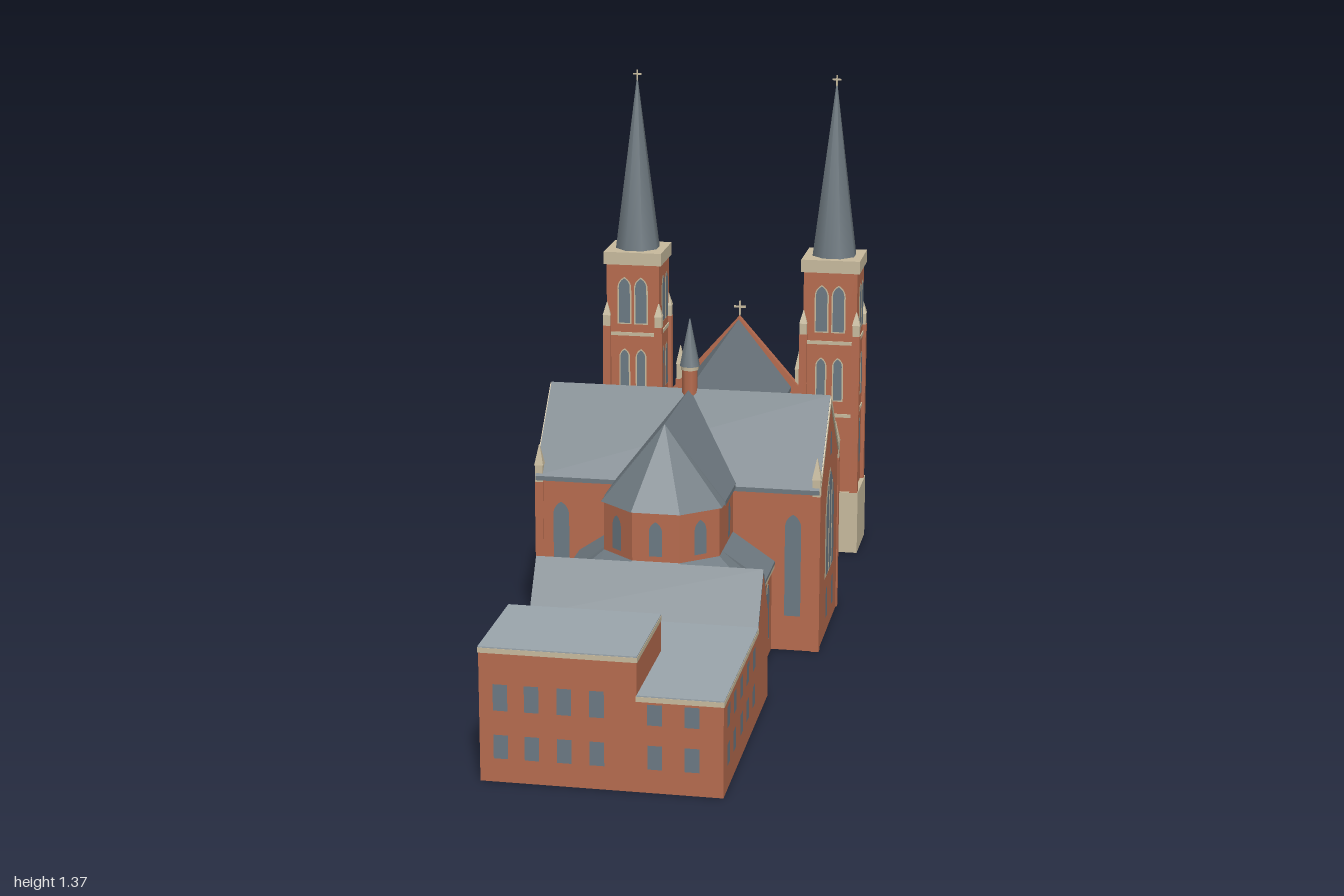
import * as THREE from 'three';

const mat = (name, color, side = THREE.DoubleSide) =>
  Object.assign(new THREE.MeshStandardMaterial({ color, side }), { name });

export function createModel() {
  const root = new THREE.Group();
  root.name = 'church';
  const brick = mat('brick', 0xb66b4e), stone = mat('stone', 0xc7ba9d), slate = mat('slate', 0x6e7980);
  const glass = mat('glass', 0x6b7983, THREE.FrontSide), flatRoof = mat('flat roof', 0x9aa5ac);

  // ---- helpers ----
  const add = (name, geo, m, parent = root, smooth = false) => {
    const g = geo.index && !smooth ? geo.toNonIndexed() : geo;
    if (!smooth) g.computeVertexNormals();
    const mesh = new THREE.Mesh(g, m);
    mesh.name = name;
    parent.add(mesh);
    return mesh;
  };
  const box = (name, m, x0, x1, y0, y1, z0, z1) => {
    const g = new THREE.BoxGeometry(x1 - x0, y1 - y0, z1 - z0);
    g.translate((x0 + x1) / 2, (y0 + y1) / 2, (z0 + z1) / 2);
    return add(name, g, m);
  };
  // turns a solid into a hollow shell: no floor, and no top unless kept
  const hollow = (mesh, keepTop = false) => {
    const p = mesh.geometry.attributes.position.array, n = mesh.geometry.attributes.normal.array, v = [];
    for (let i = 0; i < p.length; i += 9)
      if (n[i + 1] > -0.1 && (keepTop || n[i + 1] < 0.1)) v.push(...p.slice(i, i + 9));
    mesh.geometry = new THREE.BufferGeometry();
    mesh.geometry.setAttribute('position', new THREE.Float32BufferAttribute(v, 3));
    mesh.geometry.computeVertexNormals();
  };
  const shapeOf = pts => new THREE.Shape(pts.map(p => new THREE.Vector2(p[0], p[1])));
  const extrude = (pts, depth) => new THREE.ExtrudeGeometry(shapeOf(pts), { depth, bevelEnabled: false });
  const alongZ = (name, m, pts, z0, z1) => add(name, extrude(pts, z1 - z0).translate(0, 0, z0), m);
  const alongX = (name, m, pts, x0, x1) => // profile given as (z, y)
    add(name, extrude(pts, x1 - x0).rotateY(-Math.PI / 2).translate(x1, 0, 0), m);
  const planUp = (name, m, pts, y0, y1) => // plan given as (x, z)
    add(name, extrude(pts.map(p => [p[0], -p[1]]), y1 - y0).rotateX(-Math.PI / 2).translate(0, y0, 0), m);
  const gable = (c, w, eave, ridge, base = 0) =>
    [[c - w, base], [c + w, base], [c + w, eave], [c, ridge], [c - w, eave]];
  const chevron = (c, w, eave, ridge, t) =>
    [[c - w, eave - t], [c, ridge - t], [c + w, eave - t], [c + w, eave], [c, ridge], [c - w, eave]];
  const skirt = (name, m, low, high) => { // roof faces between two open rings
    const v = [];
    for (let i = 0; i < low.length - 1; i++) {
      const [a, b, c, d] = [low[i], low[i + 1], high[i], high[i + 1]];
      v.push(...a, ...c, ...d, ...a, ...d, ...b);
    }
    const g = new THREE.BufferGeometry();
    g.setAttribute('position', new THREE.Float32BufferAttribute(v, 3));
    add(name, g, m);
  };
  const cone = (name, m, r0, r1, y0, y1, x, z, n = 8) => add(name,
    new THREE.CylinderGeometry(r0 && r1, r0, y1 - y0, n).rotateY(Math.PI / n).translate(x, (y0 + y1) / 2, z), m, root, n > 4);
  const lancet = (w, h) => {
    const s = new THREE.Shape(), k = h - w * 0.85;
    s.moveTo(-w / 2, 0).lineTo(w / 2, 0).lineTo(w / 2, k);
    s.quadraticCurveTo(w / 2, h - w * 0.3, 0, h).quadraticCurveTo(-w / 2, h - w * 0.3, -w / 2, k);
    return new THREE.ShapeGeometry(s, 8);
  };
  const F = 0, R = Math.PI / 2, B = Math.PI, L = -Math.PI / 2;
  const windowAt = (x, y, z, rot, w, h, trim = 0, pane = glass) => {
    const g = new THREE.Group();
    g.name = 'window';
    g.position.set(x, y, z);
    g.rotation.y = rot;
    if (trim) add('windowTrim', lancet(w + 2 * trim, h + 2 * trim).translate(0, -trim, 0.002), stone, g);
    add('windowPane', lancet(w, h).translate(0, 0, 0.004), pane, g);
    root.add(g);
  };
  const squareWindow = (x, y, z, rot, w, h) => {
    const m = add('annexWindow', new THREE.PlaneGeometry(w, h).translate(0, 0, 0.002), glass);
    m.position.set(x, y, z);
    m.rotation.y = rot;
  };
  const pinnacle = (x, y, z, w, h) => {
    box('pinnacleShaft', stone, x - w / 2, x + w / 2, y, y + h * 0.45, z - w / 2, z + w / 2);
    cone('pinnacleCap', stone, w * 0.8, 0.001, y + h * 0.45, y + h, x, z, 4);
  };
  const cross = (x, y, z, h) => {
    box('crossPost', stone, x - 0.002, x + 0.002, y, y + h, z - 0.002, z + 0.002);
    box('crossArm', stone, x - h * 0.38, x + h * 0.38, y + h * 0.55, y + h * 0.68, z - 0.002, z + 0.002);
  };
  const mirror = half => [...half, ...half.map(([x, z]) => [-x, z]).reverse()];

  // ---- nave and apse ----
  const tz = -0.17, tw = 0.188, tx = 0.372;
  hollow(alongZ('naveWest', brick, gable(0, 0.148, 0.438, 0.628, 0.29), -0.96, tz - tw + 0.002));
  hollow(alongZ('naveEast', brick, gable(0, 0.148, 0.438, 0.628, 0.29), tz + tw - 0.002, 0.18));
  alongZ('naveRoof', slate, chevron(0, 0.155, 0.445, 0.64, 0.012), -0.96, 0.18);
  hollow(planUp('apse', brick, mirror([[0.148, 0.17], [0.148, 0.222], [0.06, 0.298]]), 0.29, 0.442));
  const apseEave = mirror([[0.155, 0.18], [0.155, 0.225], [0.062, 0.304]]);
  skirt('apseRoof', slate, apseEave.map(([x, z]) => [x, 0.442, z]), apseEave.map(() => [0, 0.64, 0.18]));
  hollow(planUp('ambulatory', brick, mirror([[0.25, tz + tw + 0.002], [0.25, 0.27], [0.165, 0.352]]), 0, 0.228));
  const ambEave = mirror([[0.257, 0.17], [0.257, 0.273], [0.168, 0.358]]);
  const ambTop = mirror([[0.147, 0.17], [0.147, 0.222], [0.06, 0.298]]);
  skirt('ambulatoryRoof', slate, ambEave.map(([x, z]) => [x, 0.224, z]), ambTop.map(([x, z]) => [x, 0.315, z]));
  windowAt(0, 0.33, 0.298, F, 0.034, 0.09);

  // ---- aisles, clerestory and buttresses on both sides ----
  hollow(box('aisles', brick, -0.25, 0.25, 0, 0.234, -0.806, tz - tw - 0.002));
  for (const s of [-1, 1]) {
    const side = s > 0 ? R : L;
    for (const [z0, z1] of [[-0.955, tz - tw], [tz + tw, 0.18]]) {
      alongZ('aisleRoof', slate, [[s * 0.258, 0.232], [s * 0.258, 0.24], [s * 0.147, 0.315], [s * 0.147, 0.3]], z0, z1);
      box('aisleCornice', stone, s * 0.253 - 0.004, s * 0.253 + 0.004, 0.222, 0.234, Math.max(z0, -0.82), z1);
    }
    for (const z of [-0.415, -0.515, -0.635, -0.755, 0.1]) windowAt(s * 0.25, 0.055, z, side, 0.037, 0.15, 0.006);
    for (const z of [-0.42, -0.468, -0.57, -0.617, -0.72, -0.767, 0.1]) windowAt(s * 0.148, 0.33, z, side, 0.03, 0.09);
    for (const z of [-0.47, -0.59, -0.7]) {
      box('buttress', brick, s * 0.255 - 0.013, s * 0.255 + 0.013, 0, 0.205, z - 0.01, z + 0.01);
      box('buttressCap', stone, s * 0.255 - 0.014, s * 0.255 + 0.014, 0.205, 0.217, z - 0.011, z + 0.011);
    }
    windowAt(s * 0.104, 0.33, 0.26, s * 0.712, 0.034, 0.09);
    windowAt(s * 0.2075, 0.05, 0.311, s * 0.767, 0.034, 0.125);
    windowAt(s * 0.25, 0.05, 0.225, side, 0.03, 0.125);
  }

  // ---- transept ----
  hollow(alongX('transept', brick, gable(tz, tw, 0.438, 0.63), -tx, tx));
  alongX('transeptRoof', slate, chevron(tz, 0.196, 0.438, 0.64, 0.012), -tx, tx);
  for (const s of [-1, 1]) {
    const side = s > 0 ? R : L, x = s * tx;
    alongX('gableCoping', stone, chevron(tz, 0.187, 0.444, 0.637, 0.018), x - 0.003, x + 0.003);
    windowAt(x, 0.168, tz, side, 0.145, 0.27, 0.007);
    for (const d of [-0.025, 0.025])
      box('mullion', stone, x - 0.005, x + 0.005, 0.168, 0.405, tz + d - 0.002, tz + d + 0.002);
    windowAt(x, 0.48, tz, side, 0.028, 0.065);
    for (const d of [-0.055, 0.055]) windowAt(x, 0.05, tz + d, side, 0.03, 0.085);
    for (const d of [-1, 1]) {
      const z = tz + d * (tw - 0.008);
      box('transeptButtress', brick, s * 0.364 - 0.011, s * 0.364 + 0.011, 0, 0.42, z - 0.011, z + 0.011);
      pinnacle(s * 0.364, 0.42, z, 0.021, 0.1);
      windowAt(s * 0.305, 0.095, tz + d * tw, d > 0 ? F : B, 0.042, 0.275);
    }
  }

  // ---- crossing turret ----
  cone('turret', brick, 0.021, 0.021, 0.61, 0.695, 0, tz);
  cone('turretBand', stone, 0.024, 0.024, 0.692, 0.702, 0, tz);
  cone('turretSpire', slate, 0.027, 0.0015, 0.702, 0.828, 0, tz);

  // ---- west towers ----
  hollow(box('stoneBase', stone, -0.372, 0.372, 0, 0.18, -0.99, -0.808), true);
  const cz = -0.893;
  for (const s of [-1, 1]) {
    const cx = s * 0.284;
    box('tower', brick, cx - 0.076, cx + 0.076, 0.18, 0.825, cz - 0.076, cz + 0.076);
    for (const y of [0.4, 0.612])
      box('stringCourse', stone, cx - 0.079, cx + 0.079, y, y + 0.01, cz - 0.079, cz + 0.079);
    box('towerCornice', stone, cx - 0.083, cx + 0.083, 0.82, 0.856, cz - 0.083, cz + 0.083);
    cone('spire', slate, 0.064, 0.002, 0.856, 1.34, cx, cz);
    cross(cx, 1.335, cz, 0.032);
    for (const i of [-1, 1]) for (const j of [-1, 1]) {
      const px = cx + i * 0.075, pz = cz + j * 0.075;
      box('cornerPier', brick, px - 0.011, px + 0.011, 0.18, 0.64, pz - 0.011, pz + 0.011);
      pinnacle(px, 0.64, pz, 0.02, 0.07);
    }
    for (const rot of [F, R, B, L]) {
      const nx = Math.sin(rot), nz = Math.cos(rot);
      const put = (d, y, w, h) => windowAt(cx + nx * 0.076 + nz * d, y, cz + nz * 0.076 - nx * d, rot, w, h, 0.004);
      for (const d of [-0.024, 0.024]) {
        put(d, 0.65, 0.032, 0.13);
        put(d, 0.45, 0.024, 0.12);
      }
      put(0, 0.25, 0.036, 0.13);
    }
  }

  // ---- west front ----
  const fz = -0.978;
  alongZ('facadeGable', brick, gable(0, 0.2, 0.42, 0.648, 0.18), fz, -0.955);
  alongZ('facadeCoping', stone, chevron(0, 0.2, 0.417, 0.645, 0.014), fz - 0.005, fz);
  cross(0, 0.645, fz, 0.045);
  add('roseWindow', new THREE.CylinderGeometry(0.077, 0.077, 0.009, 32).rotateX(R).translate(0, 0.355, fz - 0.002), stone);
  alongZ('gableWindow', glass, [[-0.04, 0.505], [0.04, 0.505], [0, 0.558]], fz - 0.004, fz);
  box('gableBand', stone, -0.12, 0.12, 0.475, 0.484, fz - 0.005, fz);
  box('arcadeRail', stone, -0.2, 0.2, 0.235, 0.247, fz - 0.008, fz);
  for (let i = -7; i <= 7; i++)
    box('arcadePost', stone, i * 0.026 - 0.005, i * 0.026 + 0.005, 0.18, 0.235, fz - 0.006, fz);
  for (const s of [-1, 1]) {
    box('facadePier', brick, s * 0.175 - 0.013, s * 0.175 + 0.013, 0.18, 0.45, fz - 0.01, fz + 0.012);
    pinnacle(s * 0.175, 0.45, fz, 0.021, 0.1);
    windowAt(s * 0.1, 0.06, -0.99, B, 0.028, 0.075);
  }
  for (const x of [-0.19, 0, 0.19]) {
    const k = x ? 0 : 0.015, w = 0.046 + k / 2;
    alongZ('portal', stone, gable(0, w, 0.145 + k, 0.21 + k), -0.998, -0.978).position.x = x;
    windowAt(x, 0.002, -0.996, B, 0.052, 0.125 + k, 0, brick);
  }

  // ---- annex ----
  const ax0 = -0.275, ax1 = 0.292, mx = 0.092;
  hollow(alongX('annexGable', brick, gable(0.428, 0.077, 0.226, 0.347), ax0, ax1));
  alongX('annexGableRoof', slate, chevron(0.428, 0.08, 0.232, 0.357, 0.012), ax0, ax1);
  const block = (x0, x1, z0, z1, h) => {
    hollow(box('annexBlock', brick, x0, x1, 0, h - 0.012, z0, z1));
    box('annexCornice', stone, x0 - 0.002, x1 + 0.002, h - 0.012, h, z0, z1 + 0.002);
    box('annexFlatRoof', flatRoof, x0 - 0.001, x1 + 0.001, h, h + 0.003, z0, z1 + 0.001);
  };
  block(ax0, mx, 0.505, 0.708, 0.232);
  block(mx, ax1, 0.505, 0.998, 0.232);
  block(ax0, mx, 0.708, 0.998, 0.325);
  for (const x of [-0.225, -0.152, -0.076, 0, 0.134, 0.22]) {
    squareWindow(x, 0.087, 0.998, F, 0.034, 0.058);
    squareWindow(x, x > 0.1 ? 0.19 : 0.207, 0.998, F, 0.034, x > 0.1 ? 0.05 : 0.064);
  }
  for (const z of [0.94, 0.855, 0.76, 0.67, 0.578]) for (const y of [0.088, 0.18]) {
    squareWindow(ax1, y, z, R, 0.036, 0.052);
    squareWindow(ax0, y, z, L, 0.036, 0.052);
  }
  return root;
}
